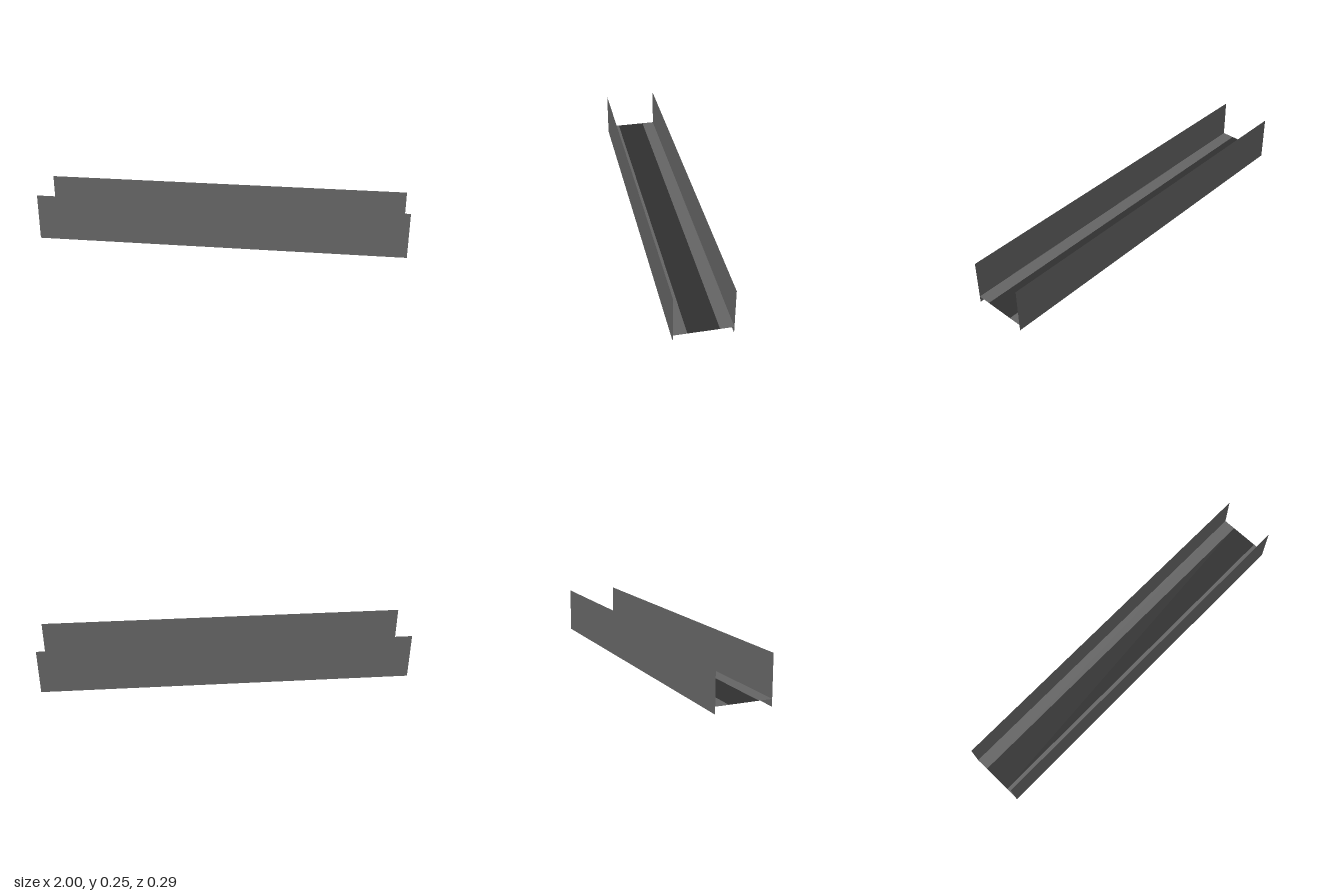
import * as THREE from 'three';

const LENGTH = 2, HEIGHT = 0.254, HALF_WIDTH = 0.147, FLOOR_Y = 0.037, HALF_DARK = 0.078;

export function createModel() {
  const model = new THREE.Group();
  model.name = 'channel';

  const material = (name, color) => {
    const m = new THREE.MeshStandardMaterial({ color, side: THREE.DoubleSide });
    m.name = name;
    return m;
  };
  const grey = material('concreteGrey', 0x666666);
  const dark = material('darkGrey', 0x313131);

  // Thin sheet running the full length, upright or lying flat
  const sheet = (name, size, y, z, mat, flat) => {
    const geometry = new THREE.PlaneGeometry(LENGTH, size);
    if (flat) geometry.rotateX(-Math.PI / 2);
    const mesh = new THREE.Mesh(geometry, mat);
    mesh.name = name;
    mesh.position.set(0, y, z);
    model.add(mesh);
  };

  // Side walls and the pale floor borders beside them
  const border = HALF_WIDTH - HALF_DARK;
  for (const [side, s] of [['front', 1], ['back', -1]]) {
    sheet(side + 'Wall', HEIGHT, HEIGHT / 2, s * HALF_WIDTH, grey, false);
    sheet(side + 'FloorBorder', border, FLOOR_Y, s * (HALF_DARK + border / 2), grey, true);
  }

  // Dark strip along the middle of the floor
  sheet('floorStrip', HALF_DARK * 2, FLOOR_Y, 0, dark, true);

  return model;
}
